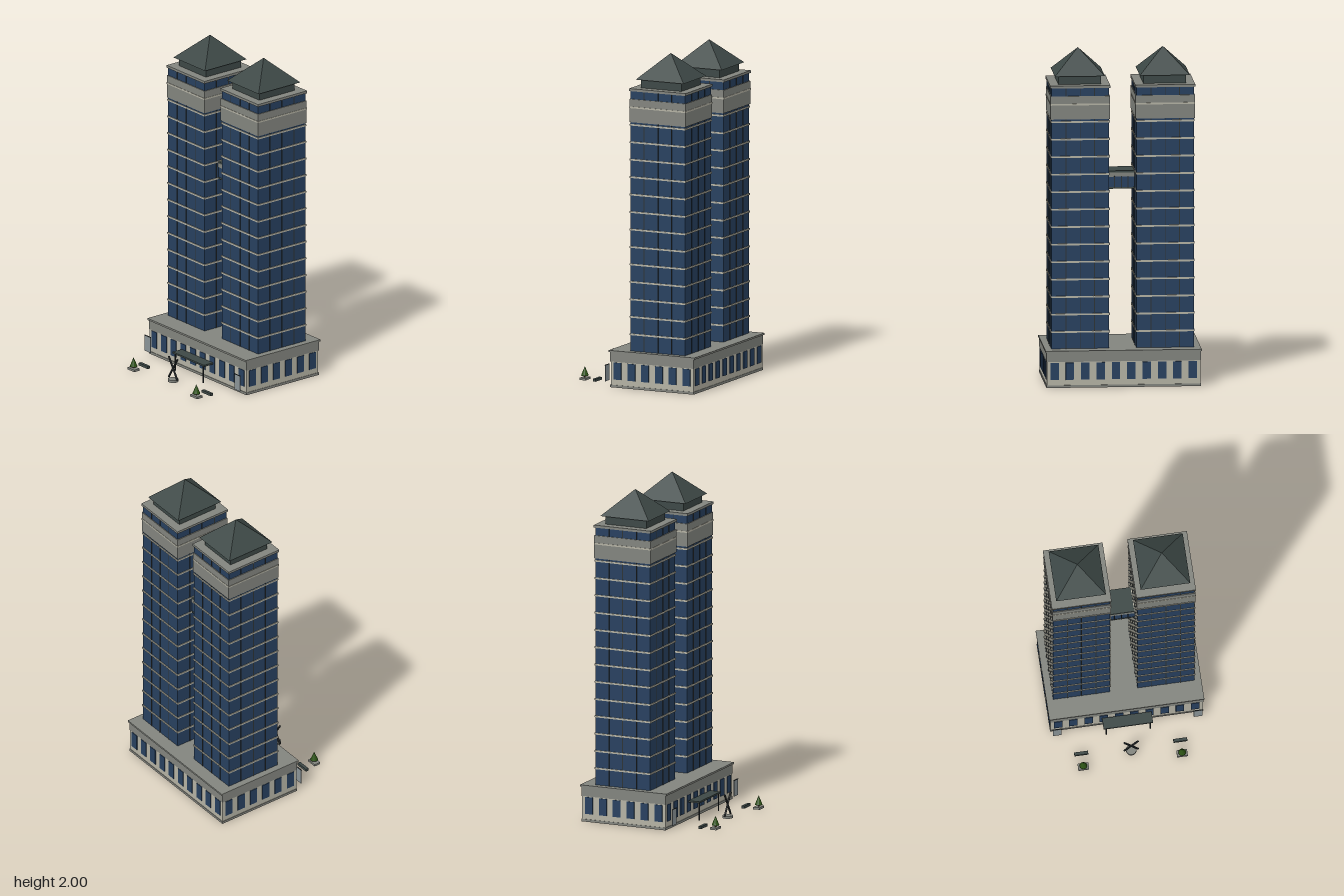
import * as THREE from 'three';

const mat = (name, color, extra = {}) => {
  const m = new THREE.MeshStandardMaterial({ color, flatShading: true, ...extra });
  m.name = name;
  return m;
};

export function createModel() {
  const glass = mat('blue glass', 0x27405f);
  const stone = mat('pale stone', 0xb4b2a4);
  const concrete = mat('grey concrete', 0x82847e);
  const slate = mat('dark slate', 0x3d4846);
  const metal = mat('dark metal', 0x2c3234);
  const signGrey = mat('panel grey', 0x8b9498);
  const leaf = mat('foliage green', 0x2c5214);
  const bark = mat('bark brown', 0x4a3420);

  const group = (name, parent) => {
    const g = new THREE.Group();
    g.name = name;
    parent.add(g);
    return g;
  };
  const add = (parent, name, geo, m, x, y, z) => {
    const mesh = new THREE.Mesh(geo, m);
    mesh.name = name;
    mesh.position.set(x, y, z);
    parent.add(mesh);
    return mesh;
  };
  // Box given by its centre in x and z and its bottom and top heights
  const box = (parent, name, m, x, z, w, d, y0, y1) =>
    add(parent, name, new THREE.BoxGeometry(w, y1 - y0, d), m, x, (y0 + y1) / 2, z);
  // Round bar between two points
  const bar = (parent, name, m, a, b, r) => {
    const dir = b.clone().sub(a);
    const mid = a.clone().add(b).multiplyScalar(0.5);
    const mesh = add(parent, name, new THREE.CylinderGeometry(r, r, dir.length(), 8), m, mid.x, mid.y, mid.z);
    mesh.quaternion.setFromUnitVectors(new THREE.Vector3(0, 1, 0), dir.normalize());
  };

  const model = new THREE.Group();
  model.name = 'twinTowers';

  // Podium: plinth, stone wall, concrete fascia and roof slab
  const podium = group('podium', model);
  const PZ = -0.135, PW = 0.91, PD = 0.546;
  box(podium, 'plinth', concrete, 0, PZ, PW + 0.006, PD + 0.006, 0, 0.015);
  box(podium, 'wall', stone, 0, PZ, PW, PD, 0.015, 0.155);
  box(podium, 'fascia', concrete, 0, PZ, PW + 0.006, PD + 0.006, 0.155, 0.211);
  box(podium, 'roofSlab', concrete, 0, PZ, 0.926, 0.568, 0.211, 0.222);

  // Podium windows on all four sides
  const pitch = 0.091;
  for (let i = 0; i < 10; i++)
    for (const s of [-1, 1])
      box(podium, 'window', glass, (i - 4.5) * pitch, PZ + s * PD / 2, 0.05, 0.008, 0.048, 0.15);
  for (let i = 0; i < 6; i++)
    for (const s of [-1, 1])
      box(podium, 'window', glass, s * PW / 2, PZ + (i - 2.5) * pitch, 0.008, 0.05, 0.048, 0.15);

  // Towers
  const TX = 0.252, TZ = -0.157, TW = 0.341, TD = 0.36;
  for (const s of [-1, 1]) {
    const t = group(s > 0 ? 'leftTower' : 'rightTower', model);
    const x = s * TX;
    box(t, 'glassShaft', glass, x, TZ, TW, TD, 0.222, 1.787);
    for (let k = 1; k <= 14; k++) {
      const y = 0.2175 + 0.105 * k, grow = k === 14 ? 0.014 : 0.009;
      box(t, 'floorBand', stone, x, TZ, TW + grow, TD + grow, y - 0.005, y + 0.005);
    }
    // Mullions run through the shaft and show on opposite faces
    for (const f of [-0.25, 0, 0.25]) {
      box(t, 'mullion', metal, x + f * TW, TZ, 0.005, TD + 0.006, 0.222, 1.787);
      box(t, 'mullion', metal, x, TZ + f * TD, TW + 0.006, 0.005, 0.222, 1.787);
    }
    box(t, 'upperBand', concrete, x, TZ, TW + 0.01, TD + 0.01, 1.598, 1.737);
    box(t, 'parapet', concrete, x, TZ, 0.356, 0.374, 1.785, 1.8);
    box(t, 'roofNeck', slate, x, TZ, 0.252, 0.268, 1.8, 1.853);
    const roof = new THREE.CylinderGeometry(0, Math.SQRT1_2, 1, 4, 1).rotateY(Math.PI / 4);
    roof.scale(0.297, 0.149, 0.317);
    add(t, 'pyramidRoof', roof, slate, x, 1.9255, TZ);
  }

  // Sky bridge
  const bridge = group('skyBridge', model);
  box(bridge, 'bridgeFloor', slate, 0, TZ, 0.165, 0.152, 1.16, 1.17);
  box(bridge, 'bridgeGlass', glass, 0, TZ, 0.165, 0.148, 1.17, 1.232);
  box(bridge, 'bridgeFascia', concrete, 0, TZ, 0.165, 0.152, 1.232, 1.257);
  box(bridge, 'bridgeRoof', slate, 0, TZ, 0.165, 0.154, 1.257, 1.268);
  for (const x of [-0.04, 0, 0.04])
    box(bridge, 'bridgeMullion', metal, x, TZ, 0.005, 0.158, 1.165, 1.235);

  // Entrance canopy on two posts
  const canopy = group('canopy', model);
  box(canopy, 'canopyRoof', slate, 0, 0.178, 0.295, 0.069, 0.106, 0.116);
  for (const s of [-1, 1])
    add(canopy, 'canopyPost', new THREE.CylinderGeometry(0.004, 0.004, 0.106, 8), metal, s * 0.132, 0.053, 0.205);

  // Crossed sculpture on a round base
  const sculpture = group('sculpture', model);
  add(sculpture, 'sculptureBase', new THREE.CylinderGeometry(0.031, 0.031, 0.015, 24), concrete, 0, 0.0075, 0.328);
  for (const s of [-1, 1])
    bar(sculpture, 'sculptureArm', metal,
      new THREE.Vector3(-s * 0.041, 0.016, 0.328), new THREE.Vector3(s * 0.041, 0.147, 0.328), 0.006);

  // Mirrored forecourt pieces: wall panels, benches and potted trees
  for (const s of [-1, 1]) {
    const side = group(s > 0 ? 'leftForecourt' : 'rightForecourt', model);
    box(side, 'hangingPanel', signGrey, s * 0.421, 0.18, 0.052, 0.004, 0.03, 0.127);
    box(side, 'panelRail', metal, s * 0.421, 0.18, 0.058, 0.005, 0.125, 0.129);
    box(side, 'bench', slate, s * 0.296, 0.307, 0.083, 0.019, 0, 0.016);
    box(side, 'planter', concrete, s * 0.295, 0.39, 0.064, 0.041, 0, 0.013);
    add(side, 'treeTrunk', new THREE.CylinderGeometry(0.004, 0.005, 0.016, 8), bark, s * 0.295, 0.02, 0.39);
    add(side, 'treeCrown', new THREE.ConeGeometry(0.023, 0.056, 12), leaf, s * 0.295, 0.052, 0.39);
  }

  return model;
}
